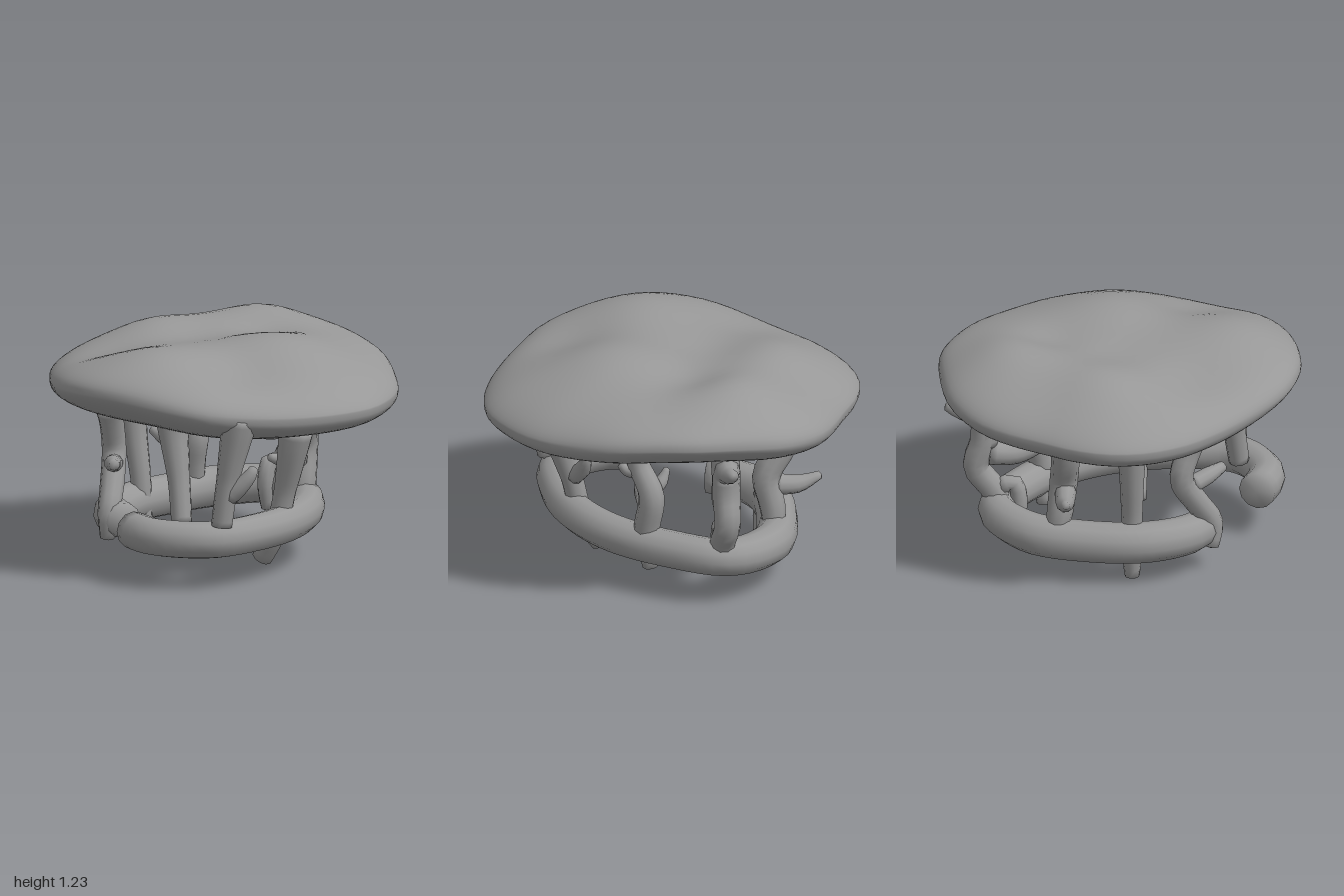
import * as THREE from 'three';
import { mergeVertices } from 'three/addons/utils/BufferGeometryUtils.js';

const grey = new THREE.MeshStandardMaterial({ color: 0x989898 });
grey.name = 'stone grey';

// Merge seams so that the shading is smooth all round.
function smooth(geo) {
  geo.deleteAttribute('uv');
  geo.deleteAttribute('normal');
  const merged = mergeVertices(geo, 1e-4);
  merged.computeVertexNormals();
  return merged;
}

// Tapered closed tube through points [x, y, z, radius].
function limb(name, pts, n = 18, sides = 10) {
  const curve = new THREE.CatmullRomCurve3(pts.map(p => new THREE.Vector3(p[0], p[1], p[2])));
  const geo = new THREE.TubeGeometry(curve, n, 1, sides);
  const pos = geo.attributes.position;
  const v = new THREE.Vector3();
  for (let i = 0; i <= n; i++) {
    const u = i / n;
    const centre = curve.getPointAt(u);
    const s = curve.getUtoTmapping(u) * (pts.length - 1);
    const k = Math.min(Math.floor(s), pts.length - 2);
    const end = i === 0 || i === n;
    const r = end ? 0 : THREE.MathUtils.lerp(pts[k][3], pts[k + 1][3], s - k);
    const base = end ? curve.getPointAt(i === 0 ? 0.7 / n : 1 - 0.7 / n) : centre;
    for (let j = 0; j <= sides; j++) {
      const id = i * (sides + 1) + j;
      v.fromBufferAttribute(pos, id).sub(centre).multiplyScalar(r).add(base);
      pos.setXYZ(id, v.x, v.y, v.z);
    }
  }
  const mesh = new THREE.Mesh(smooth(geo), grey);
  mesh.name = name;
  return mesh;
}

// Mounds and hollows on top of the cap: x, z, height, width.
const mounds = [
  [-0.57, -0.12, 0.07, 0.28], [-0.25, -0.6, 0.1, 0.3], [0.35, -0.08, 0.07, 0.34],
  [0.1, 0.62, 0.07, 0.32], [-0.05, -0.38, -0.05, 0.2], [-0.22, -0.02, -0.03, 0.22],
  [0.5, 0.36, -0.05, 0.24], [-0.45, 0.4, -0.04, 0.24],
];

function capGeometry() {
  const outline = [
    [1, -0.08], [0.98, 0.12], [0.92, 0.3], [0.85, 0.44], [0.76, 0.58], [0.6, 0.77], [0.41, 0.87], [0.12, 0.94],
    [-0.08, 0.95], [-0.27, 0.905], [-0.41, 0.83], [-0.58, 0.69], [-0.75, 0.52], [-0.89, 0.35],
    [-0.985, 0.14], [-1, -0.05], [-0.947, -0.24], [-0.86, -0.41], [-0.775, -0.59], [-0.695, -0.72],
    [-0.58, -0.83], [-0.43, -0.91], [-0.13, -0.957], [0.03, -0.955], [0.23, -0.9], [0.445, -0.81],
    [0.66, -0.65], [0.83, -0.48], [0.95, -0.26],
  ].map(p => new THREE.Vector3(p[0], 0, p[1]));
  const n = 72, rings = 40;
  const rim = new THREE.CatmullRomCurve3(outline, true).getSpacedPoints(n);
  const pos = [], index = [];
  for (let k = 0; k <= rings; k++) {
    const phi = Math.PI * k / rings;
    const r = Math.sin(phi);
    for (let i = 0; i < n; i++) {
      const x = rim[i].x * r, z = rim[i].z * r;
      // The rim rises towards the front and back.
      const facing = rim[i].z ** 2 / rim[i].lengthSq();
      const rimY = 0.935 + 0.085 * facing ** 2;
      let y;
      if (k <= rings / 2) {
        let top = 1.17;
        for (const [mx, mz, h, w] of mounds) {
          top += h * Math.exp(-((x - mx) ** 2 + (z - mz) ** 2) / (w * w));
        }
        y = rimY + (top - rimY) * Math.max(0, 1 - r ** 3) ** (0.72 - 0.32 * facing);
      } else {
        y = rimY - (rimY - 0.735) * Math.max(0, 1 - r * r) ** (0.38 + 0.27 * facing ** 2);
      }
      pos.push(x, y, z);
      if (k < rings) {
        const a = k * n + i, b = k * n + (i + 1) % n;
        index.push(a, b, a + n, b, b + n, a + n);
      }
    }
  }
  const geo = new THREE.BufferGeometry();
  geo.setAttribute('position', new THREE.Float32BufferAttribute(pos, 3));
  geo.setIndex(index);
  return smooth(geo);
}

// Each post: its trunk from cap to root, then its thorns and stubs.
const posts = {
  frontLeftPost: [
    [[0.66, 0.97, 0.56, 0.105], [0.65, 0.87, 0.57, 0.09], [0.6, 0.6, 0.59, 0.06], [0.56, 0.32, 0.6, 0.055]],
    [[0.59, 0.5, 0.59, 0.05], [0.66, 0.57, 0.56, 0.045], [0.71, 0.64, 0.53, 0.035], [0.73, 0.7, 0.51, 0.015]],
    [[0.62, 0.7, 0.57, 0.04], [0.58, 0.7, 0.5, 0.035], [0.55, 0.71, 0.43, 0.025]],
  ],
  frontPost: [
    [[0.18, 0.9, 0.57, 0.095], [0.2, 0.78, 0.575, 0.08], [0.25, 0.55, 0.59, 0.06], [0.3, 0.3, 0.62, 0.055]],
  ],
  leftPost: [
    [[0.62, 0.84, 0.07, 0.1], [0.59, 0.7, 0.07, 0.085], [0.52, 0.45, 0.06, 0.06],
      [0.46, 0.22, 0.07, 0.06], [0.34, 0.03, 0.07, 0.055]],
    [[0.52, 0.46, 0.05, 0.05], [0.48, 0.54, -0.03, 0.045], [0.47, 0.62, -0.09, 0.03], [0.47, 0.69, -0.1, 0.012]],
  ],
  backLeftPost: [
    [[0.27, 0.85, -0.4, 0.06], [0.24, 0.72, -0.41, 0.06], [0.18, 0.56, -0.46, 0.07],
      [0.2, 0.33, -0.42, 0.07], [0.17, 0.09, -0.4, 0.04]],
    [[0.19, 0.5, -0.43, 0.06], [0.2, 0.51, -0.28, 0.045], [0.2, 0.55, -0.14, 0.015]],
    [[0.18, 0.56, -0.44, 0.04], [0.12, 0.62, -0.42, 0.035], [0.08, 0.7, -0.4, 0.012]],
    [[0.24, 0.68, -0.42, 0.04], [0.3, 0.69, -0.4, 0.035], [0.34, 0.73, -0.39, 0.02]],
  ],
  backPost: [
    [[-0.19, 0.87, -0.95, 0.02], [-0.18, 0.82, -0.85, 0.045], [-0.18, 0.79, -0.73, 0.075],
      [-0.18, 0.65, -0.72, 0.075], [-0.18, 0.5, -0.76, 0.07], [-0.17, 0.35, -0.66, 0.07], [-0.18, 0.2, -0.62, 0.06]],
    [[-0.18, 0.9, -0.66, 0.08], [-0.18, 0.75, -0.7, 0.075], [-0.18, 0.6, -0.72, 0.07]],
    [[-0.18, 0.58, -0.72, 0.07], [-0.18, 0.57, -0.55, 0.055], [-0.18, 0.63, -0.37, 0.02]],
    [[-0.17, 0.36, -0.67, 0.05], [-0.17, 0.4, -0.56, 0.045], [-0.17, 0.27, -0.53, 0.045], [-0.18, 0.11, -0.56, 0.03]],
  ],
  backRightPost: [
    [[-0.58, 0.88, -0.28, 0.085], [-0.55, 0.72, -0.28, 0.075], [-0.46, 0.55, -0.29, 0.075],
      [-0.49, 0.38, -0.31, 0.07], [-0.5, 0.1, -0.35, 0.045]],
    [[-0.47, 0.5, -0.28, 0.06], [-0.63, 0.49, -0.28, 0.05], [-0.78, 0.54, -0.27, 0.015]],
  ],
  rightPost: [
    [[-0.58, 0.85, 0.07, 0.08], [-0.55, 0.6, 0.07, 0.065], [-0.51, 0.35, 0.07, 0.055],
      [-0.5, 0.15, 0.07, 0.055], [-0.48, -0.03, 0.07, 0.035]],
  ],
  frontRightPost: [
    [[-0.42, 0.86, 0.42, 0.085], [-0.44, 0.72, 0.37, 0.065], [-0.46, 0.56, 0.33, 0.065],
      [-0.4, 0.4, 0.41, 0.065], [-0.35, 0.26, 0.49, 0.06], [-0.37, 0.09, 0.48, 0.035]],
    [[-0.43, 0.5, 0.36, 0.05], [-0.34, 0.53, 0.47, 0.045], [-0.24, 0.55, 0.56, 0.025]],
  ],
};

// Open ring of log at the base, with the gap at the front.
const ringPath = [
  [-0.02, 0.27, 0.7, 0.1], [0.25, 0.27, 0.76, 0.1], [0.5, 0.27, 0.61, 0.1], [0.55, 0.27, 0.3, 0.1],
  [0.5, 0.27, 0, 0.1], [0.35, 0.27, -0.28, 0.1], [0.1, 0.27, -0.51, 0.1], [-0.2, 0.26, -0.65, 0.1],
  [-0.45, 0.24, -0.47, 0.11], [-0.54, 0.23, -0.15, 0.11], [-0.54, 0.23, 0.15, 0.11],
  [-0.42, 0.23, 0.38, 0.105], [-0.21, 0.23, 0.48, 0.09],
];

export function createModel() {
  const model = new THREE.Group();
  model.name = 'canopy';
  const cap = new THREE.Mesh(capGeometry(), grey);
  cap.name = 'cap';
  model.add(cap, limb('baseRing', ringPath, 60, 12));
  for (const [name, limbs] of Object.entries(posts)) {
    const post = new THREE.Group();
    post.name = name;
    limbs.forEach((pts, i) => post.add(limb(i ? 'thorn' : 'trunk', pts, i ? 10 : 20)));
    model.add(post);
  }
  return model;
}
